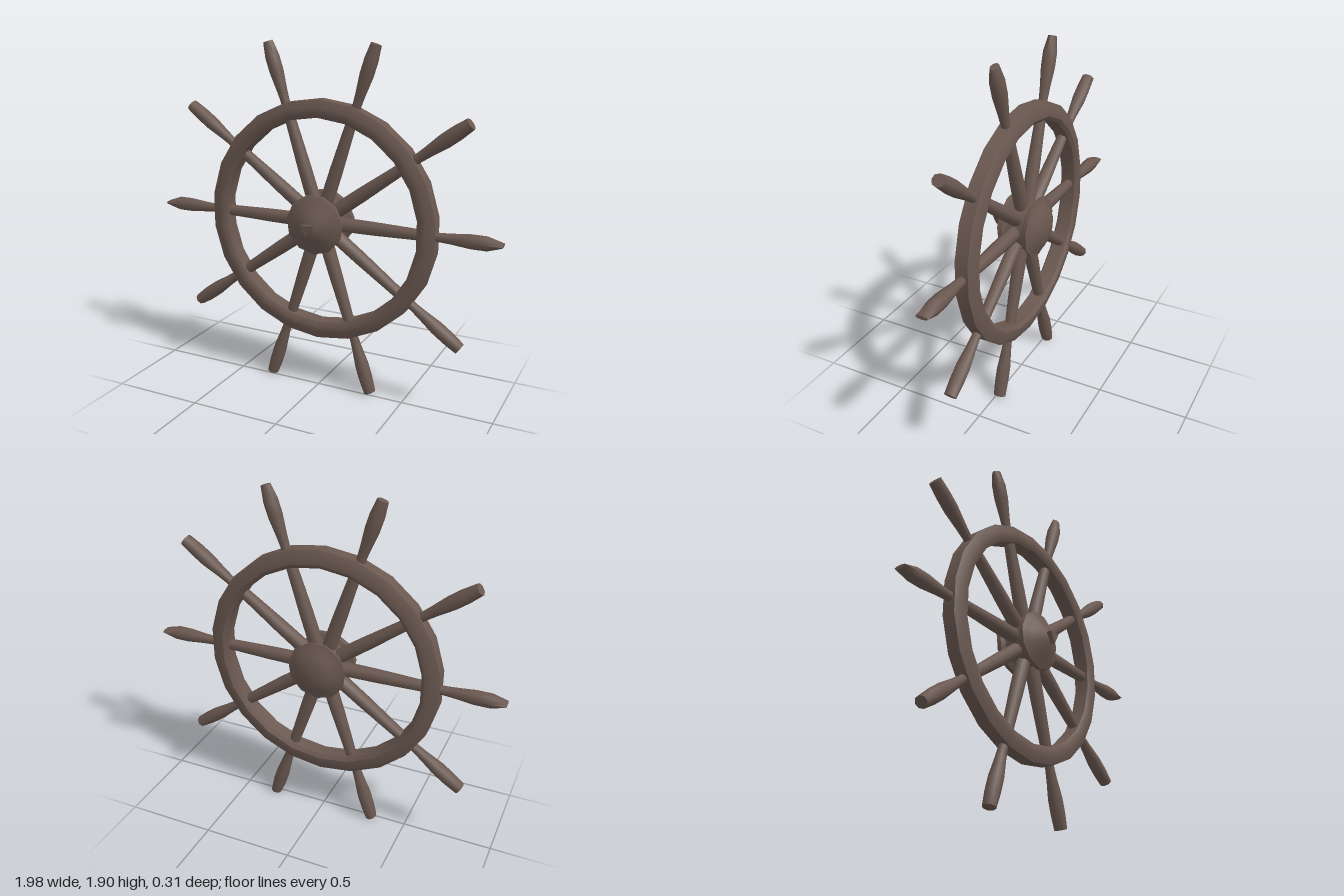
import * as THREE from 'three';
import { toCreasedNormals } from 'three/addons/utils/BufferGeometryUtils.js';

const CENTRE_Y = 0.95;
const WHEEL_Z = -0.02;

// Revolve [radius, height] points around y
function lathe(points, sides) {
  return new THREE.LatheGeometry(points.map(([r, h]) => new THREE.Vector2(r, h)), sides);
}

// Spoke and turned handle along +y; the tip is squeezed to tipX by tipZ
function spokeGeometry(tipX, tipZ) {
  const tip = 0.99;
  const geo = lathe([
    [0.04, 0.08], [0.038, 0.3], [0.03, 0.58], [0.025, 0.67], [0.029, 0.73],
    [0.039, 0.83], [0.039, 0.91], [0.036, tip], [0, tip],
  ], 8);
  const pos = geo.attributes.position;
  for (let i = 0; i < pos.count; i++) {
    if (pos.getY(i) > tip - 0.001) {
      pos.setX(i, pos.getX(i) * tipX / 0.036);
      pos.setZ(i, pos.getZ(i) * tipZ / 0.036);
    }
  }
  return toCreasedNormals(geo, 0.9);
}

export function createModel() {
  const wheel = new THREE.Group();
  wheel.name = 'shipWheel';
  const wood = new THREE.MeshStandardMaterial({ color: 0x6a5850 });
  wood.name = 'darkWood';

  const add = (name, geo, z = 0) => {
    const mesh = new THREE.Mesh(geo, wood);
    mesh.name = name;
    mesh.position.set(0, CENTRE_Y, z);
    wheel.add(mesh);
    return mesh;
  };

  // Chamfered rim
  const rim = lathe([
    [0.565, -0.04], [0.585, -0.055], [0.62, -0.055], [0.66, -0.035],
    [0.66, 0.035], [0.62, 0.053], [0.585, 0.053], [0.565, 0.04], [0.565, -0.04],
  ], 22);
  rim.rotateX(Math.PI / 2);
  add('rim', toCreasedNormals(rim, 0.6), WHEEL_Z);

  // Hub: domed back cap, waist and conical front cap
  const hub = lathe([
    [0, -0.157], [0.06, -0.153], [0.105, -0.138], [0.145, -0.11], [0.165, -0.105],
    [0.16, -0.085], [0.135, -0.07], [0.135, 0.025], [0.16, 0.035],
    [0.163, 0.06], [0.145, 0.07], [0.1, 0.093], [0.045, 0.125], [0, 0.132],
  ], 11);
  hub.rotateX(Math.PI / 2);
  add('hub', toCreasedNormals(hub, 0.7));

  // Three-sided boss on the front
  const boss = new THREE.CylinderGeometry(0.042, 0.034, 0.045, 3);
  boss.rotateX(Math.PI / 2);
  add('hubBoss', toCreasedNormals(boss, 0.5), 0.133);

  // Ten spokes with handles, tips flattened in different directions
  const wedgeTip = spokeGeometry(0.01, 0.035);
  const bluntTip = spokeGeometry(0.032, 0.036);
  const flatTip = spokeGeometry(0.03, 0.02);
  for (let i = 0; i < 10; i++) {
    const geo = i % 5 === 0 ? wedgeTip : i === 2 || i === 3 ? flatTip : bluntTip;
    const spoke = add('spoke' + (i + 1), geo, WHEEL_Z);
    spoke.rotation.z = i * Math.PI / 5 - Math.PI / 2;
  }
  return wheel;
}
